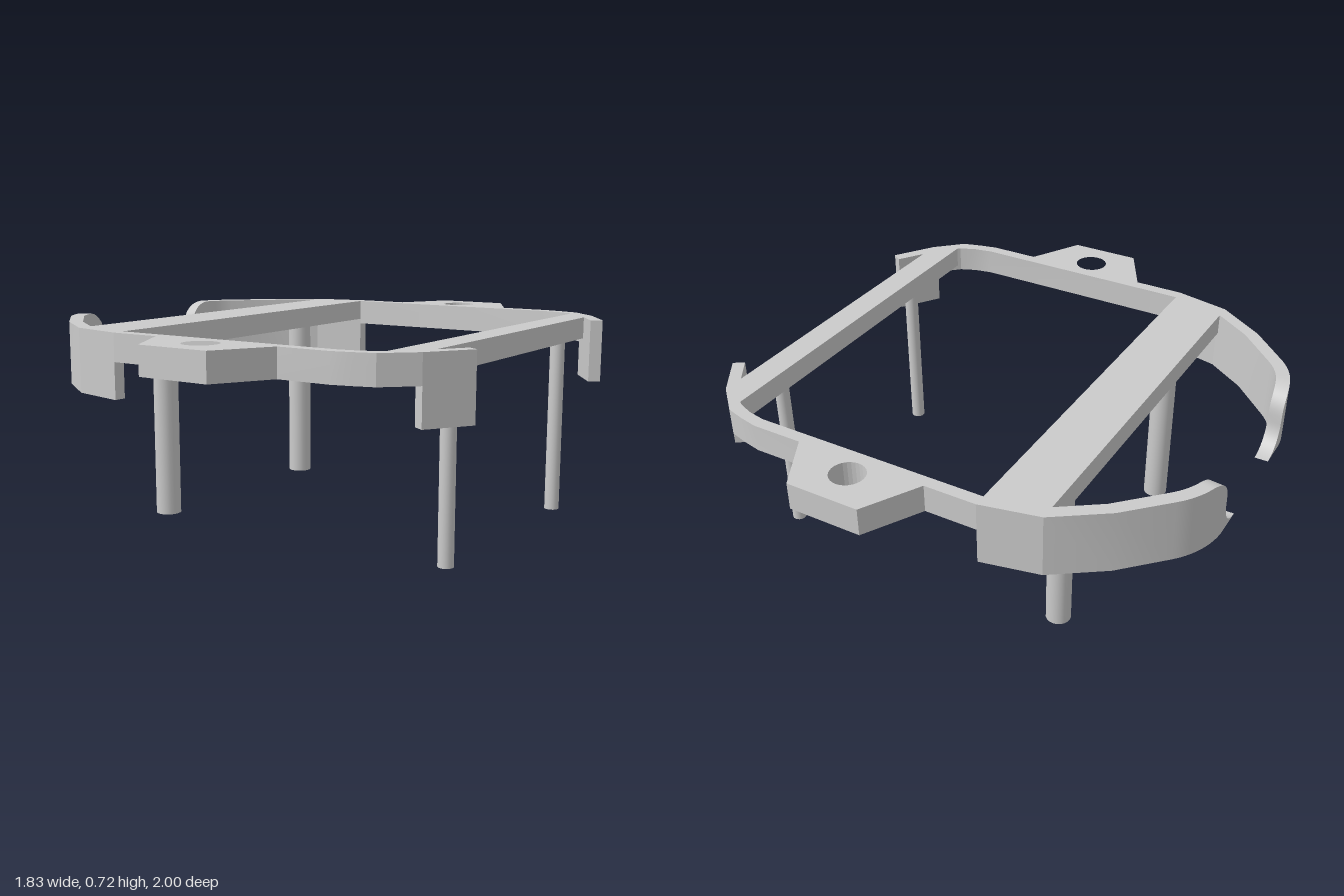
import * as THREE from 'three';
import { toCreasedNormals } from 'three/addons/utils/BufferGeometryUtils.js';

const TOP = 0.72, RAIL = 0.62, LOW = 0.49, BAR = 0.64;
const material = new THREE.MeshStandardMaterial({ color: 0xcccccc });

function add(parent, name, geometry) {
  const mesh = new THREE.Mesh(geometry, material);
  mesh.name = name;
  parent.add(mesh);
  return mesh;
}

// Wall lofted through sections [outerX, outerZ, innerX, innerZ, bottom, top]; side mirrors it in z
function wall(sections, side) {
  const pos = [];
  const rings = sections.map(([ox, oz, ix, iz, b, t]) => [
    [ox, b, oz * side], [ox, t, oz * side], [ix, t, iz * side], [ix, b, iz * side]]);
  const quad = (a, b, c, d) => {
    const order = side > 0 ? [a, b, c, a, c, d] : [a, c, b, a, d, c];
    order.forEach(p => pos.push(...p));
  };
  for (let i = 0; i + 1 < rings.length; i++) {
    const A = rings[i], B = rings[i + 1];
    for (let k = 0; k < 4; k++) {
      const n = (k + 1) % 4;
      quad(A[k], B[k], B[n], A[n]);
    }
  }
  const first = rings[0], last = rings[rings.length - 1];
  quad(first[0], first[1], first[2], first[3]);
  quad(last[3], last[2], last[1], last[0]);
  const g = new THREE.BufferGeometry();
  g.setAttribute('position', new THREE.Float32BufferAttribute(pos, 3));
  return toCreasedNormals(g, 0.3);
}

// Flat plate from an (x, z) outline, between two heights
function plate(points, bottom, top, hole) {
  const shape = new THREE.Shape(points.map(p => new THREE.Vector2(...p)));
  if (hole) shape.holes.push(new THREE.Path().absarc(hole[0], hole[1], hole[2], 0, Math.PI * 2, true));
  const g = new THREE.ExtrudeGeometry(shape, { depth: top - bottom, bevelEnabled: false, curveSegments: 14 });
  return g.rotateX(Math.PI / 2).translate(0, top, 0);
}

// Deep curved arm: flared tip, rounded shoulder, then the faceted corner
function armSections() {
  const s = [];
  for (let i = 0; i <= 10; i++) {
    const d = 0.1 * Math.sin(i / 10 * Math.PI / 2);
    s.push([-0.92, 0.17 + d, -0.87, 0.17 + d, LOW, 0.59 - Math.sqrt(Math.max(0, 0.01 - d * d))]);
  }
  for (let i = 0; i <= 20; i++) {
    const a = Math.pow(i / 20, 1.5) * Math.PI / 4, c = Math.cos(a), n = Math.sin(a);
    const d = Math.min(0.1, 0.29 * n);
    const top = RAIL + Math.sqrt(Math.max(0, 0.01 - (0.1 - d) ** 2));
    s.push([-0.61 - 0.31 * c, 0.271 + 0.31 * n, -0.61 - 0.26 * c, 0.271 + 0.26 * n, LOW, top]);
  }
  s.push([-0.69, 0.63, -0.65, 0.6, LOW, TOP]);
  s.push([-0.51, 0.755, -0.5, 0.705, LOW, TOP]);
  s.push([-0.3, 0.8, -0.3, 0.755, LOW, TOP]);
  return s;
}

export function createModel() {
  const model = new THREE.Group();
  model.name = 'bracketFrame';

  for (const side of [1, -1]) {
    const end = side > 0 ? 'Front' : 'Back';
    add(model, 'curvedArm' + end, wall(armSections(), side));

    // Shallow side rail with its bent corner
    add(model, 'sideRail' + end, wall([
      [-0.3, 0.8, -0.3, 0.755, RAIL, TOP],
      [0.57, 0.8, 0.57, 0.755, RAIL, TOP],
      [0.64, 0.785, 0.64, 0.742, RAIL, TOP],
      [0.71, 0.765, 0.7, 0.717, RAIL, TOP],
      [0.81, 0.67, 0.773, 0.645, RAIL, TOP]], side));

    // Deep slanted hook at the end of the rail
    add(model, 'hook' + end, wall([
      [0.81, 0.67, 0.773, 0.645, LOW, TOP],
      [0.91, 0.52, 0.873, 0.495, LOW, TOP]], side));

    // Mounting ear with screw hole
    const z = side;
    add(model, 'mountingEar' + end, plate(
      [[-0.11, 0.8 * z], [0, z], [0.27, z], [0.38, 0.8 * z]], RAIL, TOP, [0.135, 0.865 * z, 0.062]));

    // Legs: thick pair under the wide bar, thin pair under the narrow one
    for (const [name, x, r] of [['thickLeg', -0.405, 0.046], ['thinLeg', 0.773, 0.027]]) {
      add(model, name + end, new THREE.CylinderGeometry(r, r, BAR + 0.02, 20))
        .position.set(x, (BAR + 0.02) / 2, 0.43 * side);
    }
  }

  // Cross bars
  add(model, 'wideBar', plate(
    [[-0.51, -0.73], [-0.3, -0.77], [-0.3, 0.77], [-0.51, 0.73]], BAR, TOP));
  add(model, 'narrowBar', plate(
    [[0.71, -0.73], [0.81, -0.63], [0.81, 0.63], [0.71, 0.73]], BAR, TOP));

  return model;
}
